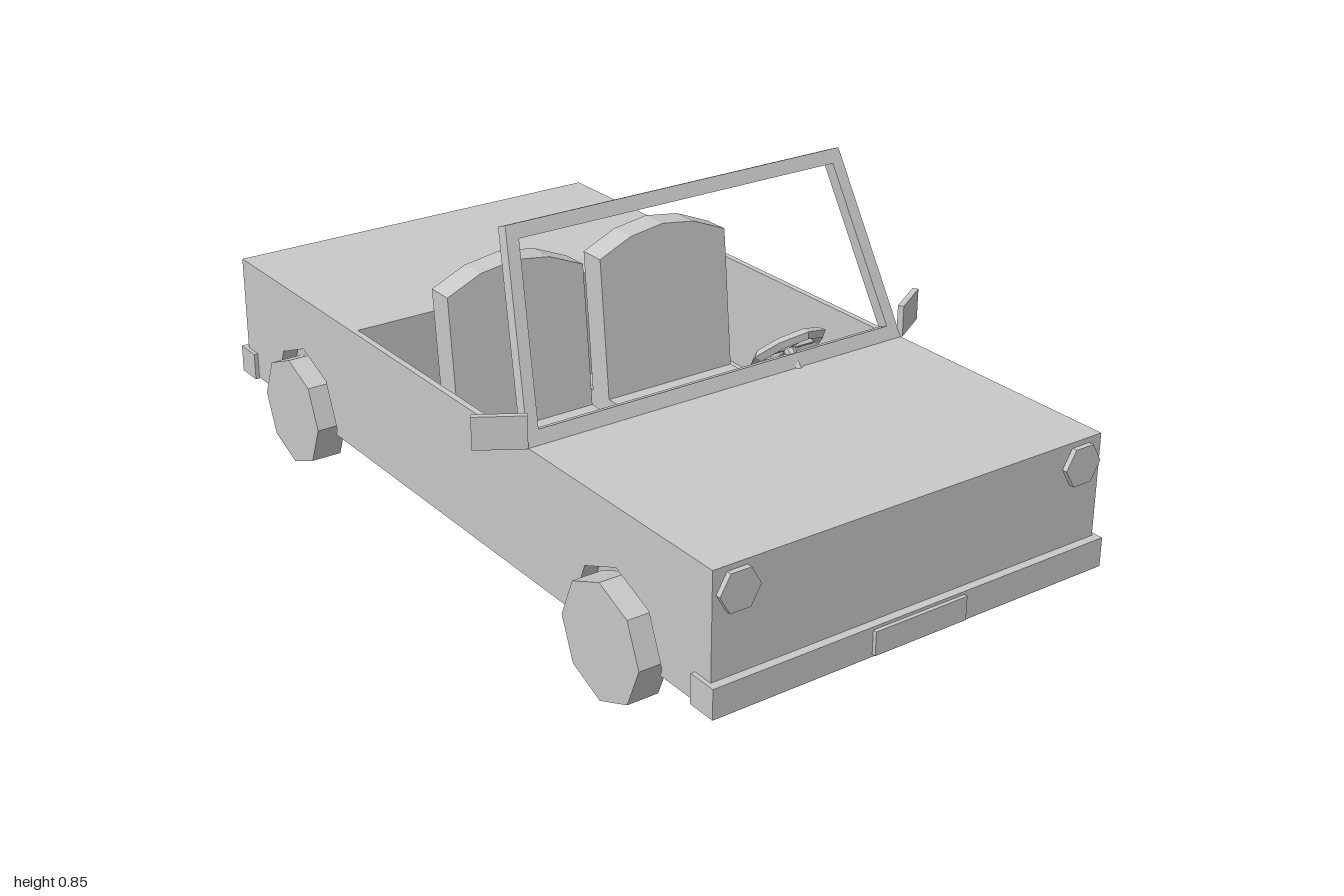
import * as THREE from 'three';

const paint = new THREE.MeshStandardMaterial({ color: 0xc8c8c8, flatShading: true });
paint.name = 'plain grey';

export function createModel() {
  const car = new THREE.Group();
  car.name = 'openCar';

  const add = (name, geometry, parent = car) => {
    const mesh = new THREE.Mesh(geometry, paint);
    mesh.name = name;
    parent.add(mesh);
    return mesh;
  };
  // Box given by its limits on each axis
  const box = (name, x0, x1, y0, y1, z0, z1) => {
    const g = new THREE.BoxGeometry(x1 - x0, y1 - y0, z1 - z0);
    g.translate((x0 + x1) / 2, (y0 + y1) / 2, (z0 + z1) / 2);
    return add(name, g);
  };
  const shapeOf = (points) => new THREE.Shape(points.map(([x, y]) => new THREE.Vector2(x, y)));
  const extrude = (shape, depth) =>
    new THREE.ExtrudeGeometry(shape, { depth, bevelEnabled: false });

  const W = 0.505, INNER = 0.465, BOTTOM = 0.12, TOP = 0.425;
  const DASH = 0.295, REAR = -0.4, END = 0.97;

  // Body core with an open cockpit
  box('frontBody', -INNER, INNER, BOTTOM, TOP, 0.45, END);
  box('rearBody', -INNER, INNER, BOTTOM, TOP, -END, REAR);
  box('cockpitFloor', -0.49, 0.49, BOTTOM, 0.15, REAR, 0.45);
  box('dashboard', -INNER, INNER, 0.3, TOP, DASH, 0.45);
  box('dashPanel', -0.36, -0.22, 0.345, 0.39, DASH - 0.01, DASH);
  box('dashPanel', -0.07, 0.02, 0.345, 0.39, DASH - 0.01, DASH);

  // Side panels with faceted wheel arches
  const archPanel = (z0, z1, wheelZ) => extrude(shapeOf([
    [z0, BOTTOM],
    ...[[-0.149, BOTTOM], [-0.155, 0.135], [-0.11, 0.245], [0, 0.29],
      [0.11, 0.245], [0.155, 0.135], [0.149, BOTTOM]].map(([z, y]) => [wheelZ + z, y]),
    [z1, BOTTOM], [z1, TOP], [z0, TOP],
  ]), W - INNER).rotateY(-Math.PI / 2);

  for (const s of [1, -1]) {
    const shift = s > 0 ? W : -INNER;
    add('frontSide', archPanel(DASH, END, 0.66).translate(shift, 0, 0));
    add('rearSide', archPanel(-END, REAR, -0.66).translate(shift, 0, 0));
    box('cockpitSide', s > 0 ? 0.49 : -W, s > 0 ? W : -0.49, BOTTOM, TOP, REAR, DASH);

    // Wheels
    for (const z of [0.66, -0.66]) {
      const wheel = add('wheel', new THREE.CylinderGeometry(0.135, 0.135, 0.075, 8).rotateZ(Math.PI / 2));
      wheel.position.set(s * 0.508, 0.135, z);
    }

    // Wing mirror, angled back from the screen base
    const mirror = add('wingMirror', new THREE.BoxGeometry(0.116, 0.075, 0.014));
    mirror.position.set(s * 0.553, 0.463, 0.315);
    mirror.rotation.y = s * 0.55;

    // Bumper, number plate and lamps at each end (s is +1 front, -1 rear)
    const end = s > 0 ? 'front' : 'rear';
    const endBox = (name, x, y0, y1, a, b) =>
      box(end + name, -x, x, y0, y1, Math.min(s * a, s * b), Math.max(s * a, s * b));
    endBox('Bumper', 0.515, 0.117, 0.185, 0.92, 0.99);
    endBox('Plate', 0.121, 0.123, 0.178, 0.99, 0.999);
    for (const x of [0.447, -0.447]) {
      const lamp = new THREE.CylinderGeometry(0.049, 0.049, 0.02, 6);
      lamp.rotateY(Math.PI / 2).rotateX(Math.PI / 2);
      add(end + 'Lamp', lamp).position.set(x, 0.37, s * 0.972);
    }
  }

  // Raked windscreen frame
  const rake = Math.atan(0.405), k = 1 / Math.cos(rake);
  const frame = shapeOf([[-W, 0], [W, 0], [0.443, 0.42 * k], [-0.443, 0.42 * k]]);
  frame.holes.push(shapeOf([[-0.472, 0.03 * k], [-0.418, 0.39 * k], [0.418, 0.39 * k], [0.472, 0.03 * k]]));
  const screen = add('windscreenFrame', extrude(frame, 0.03).translate(0, 0, -0.03));
  screen.position.set(0, TOP, 0.348);
  screen.rotation.x = -rake;

  // Seats with arched, leaning backrests
  for (const x of [0.212, -0.2]) {
    box('seatCushion', x - 0.182, x + 0.182, 0.15, 0.21, -0.23, 0.14);
    const back = extrude(shapeOf([
      [-0.182, 0.15], [0.182, 0.15], [0.182, 0.555], [0.092, 0.592],
      [0, 0.605], [-0.092, 0.592], [-0.182, 0.555],
    ]), 0.068);
    const p = back.attributes.position;
    for (let i = 0; i < p.count; i++) p.setZ(i, p.getZ(i) - 0.2 - 0.1 * (p.getY(i) - 0.15));
    back.computeVertexNormals();
    add('seatBack', back).position.x = x;
  }

  // Steering wheel on the model's left
  const steering = new THREE.Group();
  steering.name = 'steeringWheel';
  steering.position.set(0.207, 0.458, 0.307);
  steering.rotation.x = 0.84;
  car.add(steering);
  add('steeringRim', new THREE.TorusGeometry(0.08, 0.013, 4, 8), steering);
  add('spokeAcross', new THREE.BoxGeometry(0.15, 0.012, 0.01), steering);
  add('spokeUpright', new THREE.BoxGeometry(0.012, 0.15, 0.01), steering);
  add('steeringColumn', new THREE.CylinderGeometry(0.014, 0.014, 0.07, 8).rotateX(Math.PI / 2).translate(0, 0, 0.035), steering);

  return car;
}
